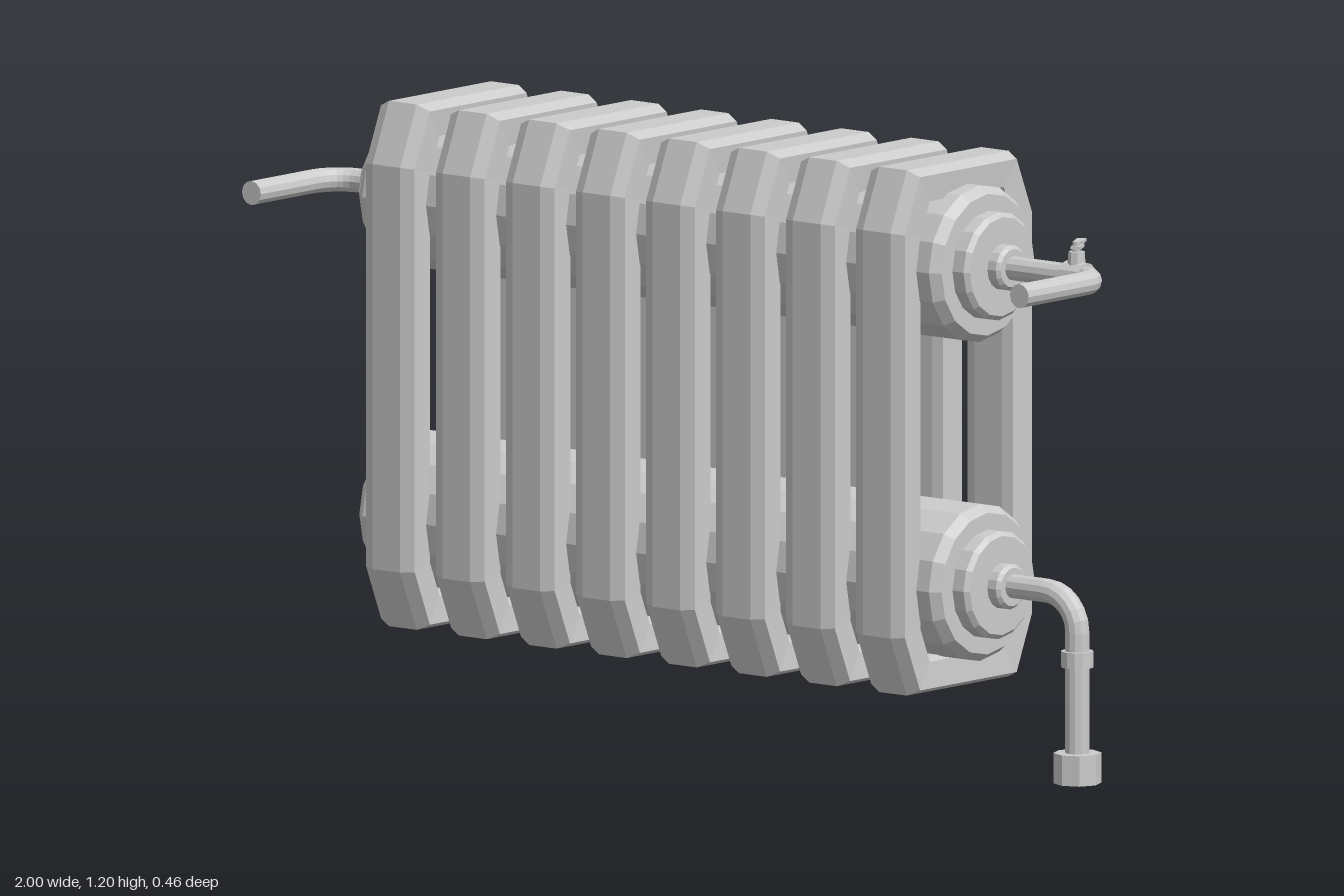
import * as THREE from 'three';

const material = new THREE.MeshStandardMaterial({ color: 0xcccccc, flatShading: true });
const AXIS_Z = -0.023, TOP_Y = 1.0, LOW_Y = 0.37, MID_X = -0.056;
const PIPE_R = 0.024;

function part(name, geometry, x = 0, y = 0, z = 0) {
  const mesh = new THREE.Mesh(geometry, material);
  mesh.name = name;
  mesh.position.set(x, y, z);
  return mesh;
}

// Turned part along x; profile is a list of [radius, x] with x ascending
function turned(name, profile, y, sides = 16) {
  const geometry = new THREE.LatheGeometry(profile.map(([r, x]) => new THREE.Vector2(r, x)), sides);
  geometry.rotateZ(-Math.PI / 2);
  return part(name, geometry, MID_X, y, AXIS_Z);
}

// Octagonal outline in (-z, y), moved inward by d with mitred corners
function outline(d) {
  const w = 0.205 - d, h = 0.519 - d, f = 0.155 - d * 0.667, c = 0.4 - d * 0.2;
  return [[w, -c], [w, c], [f, h], [-f, h], [-w, c], [-w, -c], [-f, -h], [f, -h]];
}

// Closed column: a crowned cross-section swept round the octagon
function columnGeometry() {
  const section = [[-0.035, 0], [0.035, 0], [0.062, 0.012], [0.058, 0.064],
    [0.035, 0.07], [-0.035, 0.07], [-0.058, 0.064], [-0.062, 0.012]];
  const n = section.length, positions = [], index = [];
  for (const [x, d] of section) {
    for (const [a, y] of outline(d)) positions.push(x, y, -a);
  }
  for (let s = 0; s < n; s++) {
    for (let i = 0; i < 8; i++) {
      const s2 = (s + 1) % n, i2 = (i + 1) % 8;
      const a = s * 8 + i, b = s * 8 + i2, c = s2 * 8 + i2, e = s2 * 8 + i;
      index.push(a, b, c, a, c, e);
    }
  }
  const geometry = new THREE.BufferGeometry();
  geometry.setAttribute('position', new THREE.Float32BufferAttribute(positions, 3));
  geometry.setIndex(index);
  geometry.computeVertexNormals();
  return geometry;
}

// Pipe with one rounded elbow and a closed far end
function elbowPipe(name, start, corner, end, radius) {
  const [p, q, r] = [start, corner, end].map(v => new THREE.Vector3(...v));
  const before = q.clone().add(p.clone().sub(q).setLength(radius));
  const after = q.clone().add(r.clone().sub(q).setLength(radius));
  // Control points for a near-circular quarter turn
  const c1 = before.clone().lerp(q, 0.552), c2 = after.clone().lerp(q, 0.552);
  const bend = new THREE.CubicBezierCurve3(before, c1, c2, after);
  const points = [p, ...bend.getPoints(6), r];
  const path = new THREE.CurvePath();
  for (let i = 0; i < points.length - 1; i++) path.add(new THREE.LineCurve3(points[i], points[i + 1]));
  // Sample exactly at the joints so the straight runs stay straight
  path.getPointAt = t => points[Math.round(t * (points.length - 1))].clone();
  path.getTangentAt = t => {
    const i = Math.round(t * (points.length - 1));
    if (i <= 1) return q.clone().sub(p).normalize();
    if (i >= points.length - 2) return r.clone().sub(q).normalize();
    return bend.getTangent((i - 1) / 6);
  };
  const group = new THREE.Group();
  group.name = name;
  group.add(part('pipeTube', new THREE.TubeGeometry(path, points.length - 1, PIPE_R, 12, false)));
  const cap = part('pipeEnd', new THREE.CircleGeometry(PIPE_R, 12), ...end);
  cap.quaternion.setFromUnitVectors(new THREE.Vector3(0, 0, 1), r.clone().sub(q).normalize());
  group.add(cap);
  return group;
}

export function createModel() {
  const model = new THREE.Group();

  // Row of eight columns
  const column = columnGeometry();
  for (let i = 0; i < 8; i++) {
    model.add(part('column', column, -0.673 + i * 0.178, 0.679, AXIS_Z));
  }

  // Header drums
  const drum = [[0, -0.74], [0.14, -0.74], [0.155, -0.72], [0.155, 0.72], [0.14, 0.74], [0, 0.74]];
  model.add(turned('upperDrum', drum, TOP_Y), turned('lowerDrum', drum, LOW_Y));

  // Stepped end caps with pipe collars
  const cap = [[0.107, 0.735], [0.107, 0.768], [0.098, 0.777], [0.045, 0.777],
    [0.045, 0.798], [0.038, 0.805], [0, 0.805]];
  const mirroredCap = cap.map(([r, x]) => [r, -x]).reverse();
  model.add(turned('upperLeftCap', cap, TOP_Y));
  model.add(turned('upperRightCap', mirroredCap, TOP_Y));
  model.add(turned('lowerLeftCap', cap, LOW_Y));

  // Upper pipes, turning to the front on both ends
  model.add(elbowPipe('upperRightPipe', [-0.84, TOP_Y, AXIS_Z],
    [-0.976, TOP_Y, AXIS_Z], [-0.976, TOP_Y, 0.23], 0.07));
  model.add(elbowPipe('upperLeftPipe', [0.73, TOP_Y, AXIS_Z],
    [0.976, TOP_Y, AXIS_Z], [0.976, TOP_Y, 0.23], 0.06));

  // Lower pipe, turning down to the floor
  const dropX = 0.912, lowPipeY = 0.372;
  model.add(elbowPipe('lowerPipe', [0.73, lowPipeY, AXIS_Z],
    [dropX, lowPipeY, AXIS_Z], [dropX, 0.03, AXIS_Z], 0.075));
  model.add(part('pipeCollar', new THREE.CylinderGeometry(0.032, 0.032, 0.032, 12), dropX, 0.245, AXIS_Z));
  model.add(part('floorNut', new THREE.CylinderGeometry(0.047, 0.047, 0.06, 8), dropX, 0.03, AXIS_Z));

  // Shut-off valve on the upper left pipe
  const valve = new THREE.Group();
  valve.name = 'valve';
  valve.position.set(0.91, TOP_Y, AXIS_Z);
  const body = part('valveBody', new THREE.CylinderGeometry(0.03, 0.03, 0.05, 12));
  body.rotation.z = Math.PI / 2;
  valve.add(body);
  valve.add(part('valveNeck', new THREE.CylinderGeometry(0.016, 0.018, 0.03, 8), 0, 0.035, 0));
  valve.add(part('valveStem', new THREE.CylinderGeometry(0.008, 0.008, 0.03, 8), 0, 0.055, 0));
  const handle = new THREE.Group();
  handle.name = 'valveHandle';
  handle.rotation.y = 0.5;
  handle.add(part('handlePlate', new THREE.BoxGeometry(0.02, 0.006, 0.04), 0, 0.058, -0.008));
  handle.add(part('handleLever', new THREE.BoxGeometry(0.018, 0.006, 0.036), 0, 0.065, -0.035));
  valve.add(handle);
  model.add(valve);

  return model;
}
